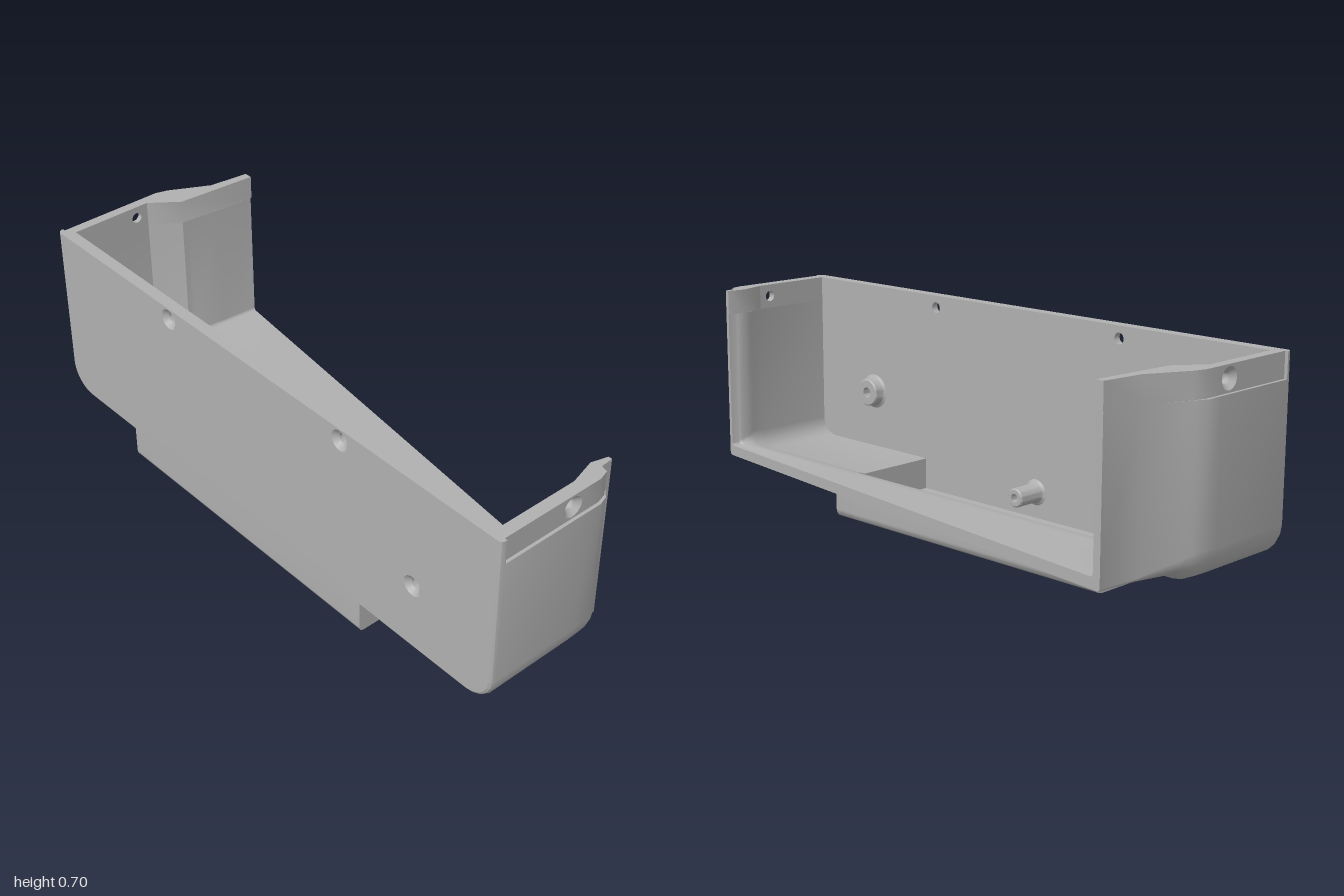
import * as THREE from 'three';
import { toCreasedNormals } from 'three/addons/utils/BufferGeometryUtils.js';

const TOP = 0.705, BAND = 0.625;      // rim height, start of the recessed rim band
const HOLE_R = 0.018, SINK_R = 0.034, SINK_D = 0.016;

export function createModel() {
  const group = new THREE.Group();
  const grey = new THREE.MeshStandardMaterial({ color: 0xb0b0b0, side: THREE.DoubleSide });
  grey.name = 'plastic grey';

  const add = (geo, name) => {
    const mesh = new THREE.Mesh(geo, grey);
    mesh.name = name;
    group.add(mesh);
    return mesh;
  };
  const polygon = (pts) => new THREE.Shape(pts.map(([x, y]) => new THREE.Vector2(x, y)));
  const extrude = (shape, depth) =>
    toCreasedNormals(new THREE.ExtrudeGeometry(shape, { depth, bevelEnabled: false, curveSegments: 10 }), 0.6);
  const withHoles = (shape, holes, r) => {
    const s = shape.clone();
    s.holes = holes.map(([x, y]) => new THREE.Path().absarc(x, y, r, 0, Math.PI * 2, true));
    return s;
  };
  // Shape drawn in (z, y), extruded from x0 to x1
  const extrudeX = (shape, x0, x1, name) =>
    add(extrude(shape, x1 - x0).rotateY(-Math.PI / 2).translate(x1, 0, 0), name);
  // Plan polygon in (x, z), extruded from y0 to y1
  const extrudeY = (pts, y0, y1, name) =>
    add(extrude(polygon(pts.map(([x, z]) => [x, -z])), y1 - y0).rotateX(-Math.PI / 2).translate(0, y0, 0), name);
  const cone = () => new THREE.CylinderGeometry(SINK_R, HOLE_R, SINK_D, 32, 1, true);

  // Shell: floor and side walls, lofted from front to back.
  // zL, zR | outer xL, xR, bottom, radius | inner xL, xR, bottom, radius
  const stations = [
    [0.34, 0.34, -0.988, 0.988, 0.112, 0.09, -0.957, 0.95, 0.14, 0.06],
    [0.335, 0.335, -0.996, 0.996, 0.104, 0.098, -0.957, 0.95, 0.14, 0.06],
    [0.325, 0.325, -1, 1, 0.1, 0.1, -0.957, 0.95, 0.14, 0.06],
    [0.02, 0.02, -1, 1, 0.1, 0.1, -0.957, 0.95, 0.14, 0.06],
    [-0.04, -0.04, -1, 1, 0.104, 0.1, -0.911, 0.932, 0.16, 0.05],
    [-0.07, -0.07, -0.985, 0.99, 0.117, 0.08, -0.888, 0.925, 0.17, 0.03],
    [-0.095, -0.095, -0.972, 0.965, 0.135, 0.05, -0.886, 0.93, 0.17, 0.02],
    [-0.21, -0.1, -0.91, 0.955, 0.135, 0.01, -0.876, 0.935, 0.17, 0.01],
    [-0.345, -0.125, -0.893, 0.953, 0.135, 0.01, -0.866, 0.94, 0.17, 0.01],
  ];
  const POCKET_L = -0.61, POCKET_R = 0.425;
  const uSection = (xL, xR, yb, r) => {
    const pts = [[xL, BAND]];
    const arc = (cx, a0) => {
      for (let k = 0; k <= 5; k++) {
        const a = a0 + (k / 5) * Math.PI / 2;
        pts.push([cx + r * Math.cos(a), yb + r + r * Math.sin(a)]);
      }
    };
    arc(xL + r, Math.PI);
    pts.push([POCKET_L, yb], [POCKET_R, yb]);
    arc(xR - r, Math.PI * 1.5);
    pts.push([xR, BAND]);
    return pts;
  };
  const pos = [], idx = [], M = 16, N = 32;
  stations.forEach(([zL, zR, ...v], s) => {
    const loop = [...uSection(...v.slice(0, 4)), ...uSection(...v.slice(4)).reverse()];
    for (const [x, y] of loop) {
      const t = THREE.MathUtils.clamp((x + 0.9) / 1.85, 0, 1);
      pos.push(x, y, zL + (zR - zL) * t);
    }
    if (s === 0) return;
    for (let i = 0; i < N; i++) {
      if (s <= 4 && (i === 7 || i === 23)) continue;   // opening above the tray
      const j = (i + 1) % N;
      const a = (s - 1) * N + i, b = (s - 1) * N + j, c = s * N + j, d = s * N + i;
      idx.push(a, d, c, a, c, b);
    }
  });
  const last = (stations.length - 1) * N;
  for (let i = 0; i < M - 1; i++) {                    // back rim
    const o0 = last + i, o1 = o0 + 1, n0 = last + N - 1 - i, n1 = n0 - 1;
    idx.push(o0, n1, o1, o0, n0, n1);
  }
  const shell = new THREE.BufferGeometry();
  shell.setAttribute('position', new THREE.Float32BufferAttribute(pos, 3));
  shell.setIndex(idx);
  add(toCreasedNormals(shell, 0.55), 'shell');

  // Front wall with countersunk screw holes
  const wall = new THREE.Shape();
  wall.moveTo(-0.988, TOP);
  wall.lineTo(-0.988, 0.202);
  wall.absarc(-0.898, 0.202, 0.09, Math.PI, Math.PI * 1.5, false);
  wall.lineTo(0.898, 0.112);
  wall.absarc(0.898, 0.202, 0.09, Math.PI * 1.5, Math.PI * 2, false);
  wall.lineTo(0.988, TOP);
  const frontHoles = [[-0.41, 0.665], [0.375, 0.665], [0.68, 0.335]];
  add(extrude(withHoles(wall, frontHoles, SINK_R), SINK_D).translate(0, 0, 0.34 - SINK_D), 'frontWallOuter');
  add(extrude(withHoles(wall, frontHoles, HOLE_R), 0.04 - SINK_D).translate(0, 0, 0.3), 'frontWallInner');
  for (const [x, y] of frontHoles)
    add(cone().rotateX(Math.PI / 2).translate(x, y, 0.34 - SINK_D / 2), 'frontCountersink');

  // Recessed rim band at the top of each side wall
  const band = polygon([[0.02, BAND], [0.32, BAND], [0.32, TOP], [0.02, TOP]]);
  const sideHole = [[0.063, 0.665]];
  for (const [side, inner] of [[1, 0.95], [-1, 0.957]]) {
    const span = (a, b) => (side > 0 ? [a, b] : [-b, -a]);
    extrudeX(withHoles(band, sideHole, SINK_R), ...span(0.99 - SINK_D, 0.99), 'rimBandOuter');
    extrudeX(withHoles(band, sideHole, HOLE_R), ...span(inner, 0.99 - SINK_D), 'rimBandInner');
    add(cone().rotateZ(-side * Math.PI / 2).translate(side * (0.99 - SINK_D / 2), 0.665, 0.063), 'sideCountersink');
    extrudeY([[0.95, 0.34], [0.988, 0.34], [0.996, 0.335], [1, 0.325], [1, 0.32], [0.95, 0.32]]
      .map(([x, z]) => [side * x, z]), BAND, TOP, 'frontCornerPost');
  }
  extrudeY([[0.99, 0.02], [0.99, -0.04], [0.98, -0.075], [0.956, -0.082], [0.953, -0.125],
    [0.94, -0.125], [0.925, -0.07], [0.95, 0.02]], BAND, TOP, 'leftRimEnd');
  extrudeY([[-0.99, 0.02], [-0.99, -0.04], [-0.978, -0.08], [-0.91, -0.21], [-0.893, -0.345],
    [-0.866, -0.345], [-0.888, -0.07], [-0.957, 0.02]], BAND, TOP, 'rightRimEnd');

  // Tray below the floor, with a rectangular opening
  const trayProfile = (rest) => {
    const s = new THREE.Shape();
    s.moveTo(0.34, 0.139);
    s.lineTo(0.34, 0.02);
    s.quadraticCurveTo(0.34, 0, 0.32, 0);
    s.lineTo(-0.035, 0);
    s.quadraticCurveTo(-0.073, 0, -0.073, 0.038);
    s.lineTo(-0.073, 0.16);
    s.lineTo(-0.04, 0.158);
    rest.forEach(([z, y]) => s.lineTo(z, y));
    return s;
  };
  const solid = trayProfile([[0.02, 0.139]]);
  const hollow = trayProfile([[-0.04, 0.035], [0.3, 0.035], [0.3, 0.139]]);
  extrudeX(solid, -0.648, POCKET_L, 'trayRightWall');
  extrudeX(solid, POCKET_R, 0.464, 'trayLeftWall');
  extrudeX(hollow, POCKET_L, -0.57, 'trayRightLedge');
  extrudeX(hollow, 0.39, POCKET_R, 'trayLeftLedge');

  const front = new THREE.Shape();
  front.moveTo(0.34, 0.139);
  front.lineTo(0.34, 0.02);
  front.quadraticCurveTo(0.34, 0, 0.32, 0);
  [[0.22, 0], [0.22, 0.035], [0.3, 0.035], [0.3, 0.139]].forEach(([z, y]) => front.lineTo(z, y));
  extrudeX(front, -0.57, 0.39, 'trayFront');

  const back = new THREE.Shape();
  back.moveTo(-0.01, 0);
  back.lineTo(-0.035, 0);
  back.quadraticCurveTo(-0.073, 0, -0.073, 0.038);
  [[-0.073, 0.16], [-0.04, 0.158], [-0.04, 0.035], [-0.01, 0.035]].forEach(([z, y]) => back.lineTo(z, y));
  extrudeX(back, -0.57, 0.39, 'trayBack');

  // Screw bosses on the inside of the front wall
  const boss = (x, y, r, h, bore, depth, name) => {
    const pts = [[r + 0.012, 0], [r + 0.004, 0.006], [r, 0.018], [r, h - 0.004], [r - 0.004, h], [bore, h], [bore, h - depth]];
    if (depth < h) pts.push([0, h - depth]);
    const geo = new THREE.LatheGeometry(pts.map((p) => new THREE.Vector2(...p)), 32);
    add(toCreasedNormals(geo, 0.6).rotateX(-Math.PI / 2).translate(x, y, 0.3), name);
  };
  boss(-0.08, 0.12, 0.031, 0.1, 0.014, 0.04, 'centreBoss');
  boss(-0.69, 0.335, 0.044, 0.1, 0.018, 0.05, 'rightBoss');
  boss(0.68, 0.335, 0.047, 0.037, HOLE_R, 0.037, 'leftBoss');

  return group;
}
